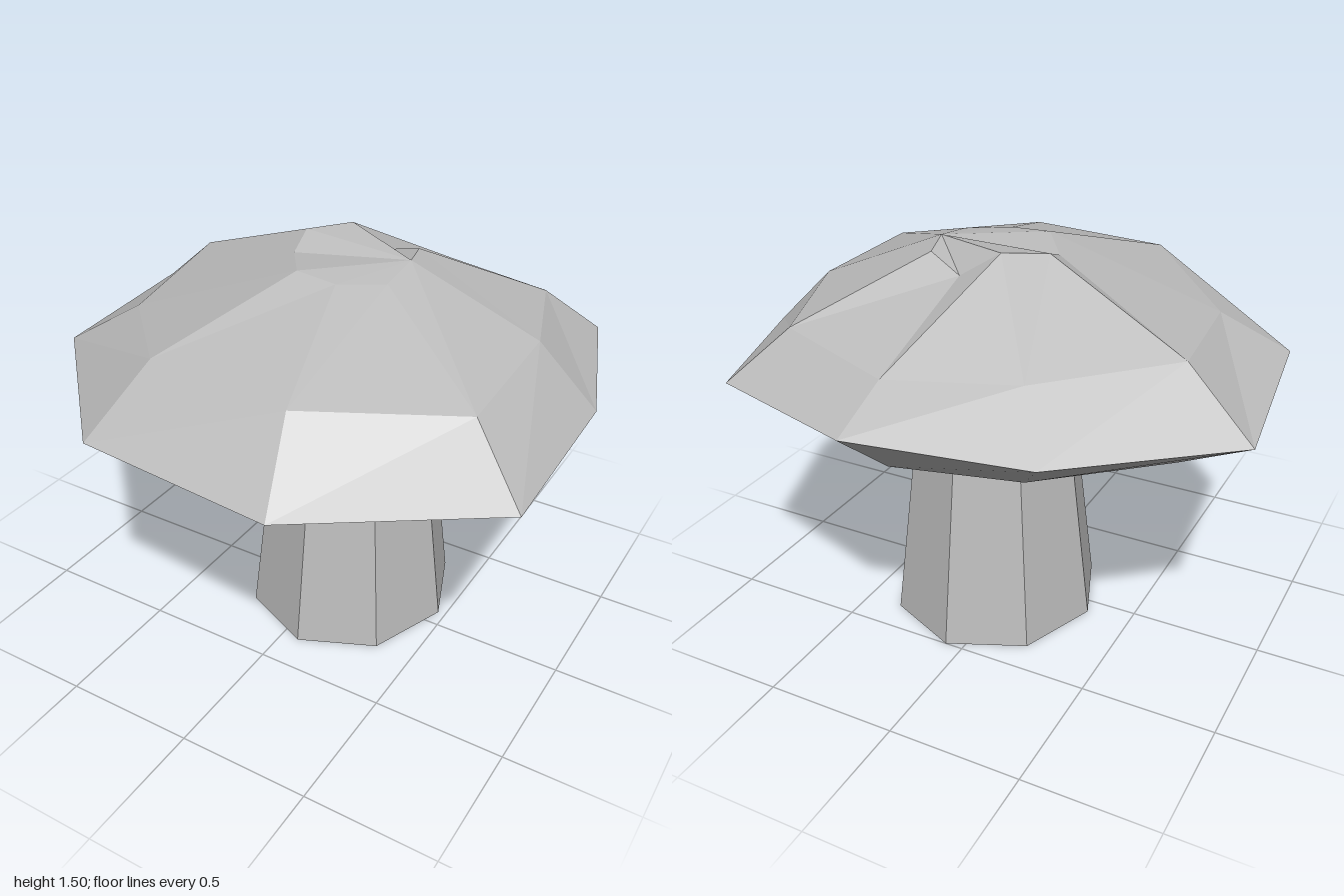
import * as THREE from 'three';

// Faceted shell from stacked rings [x, y, z], bottom to top, closed at both ends
function loft(rings, fanStart) {
  const pos = [];
  const tri = (a, b, c) => pos.push(...a, ...b, ...c);
  const n = rings[0].length;
  for (let r = 0; r < rings.length - 1; r++) {
    const lo = rings[r], up = rings[r + 1];
    for (let i = 0; i < n; i++) {
      const j = (i + 1) % n;
      tri(lo[i], up[i], lo[j]);
      tri(lo[j], up[i], up[j]);
    }
  }
  const base = rings[0], top = rings[rings.length - 1];
  for (let k = 1; k < n - 1; k++) {
    const i = (fanStart + k) % n, j = (fanStart + k + 1) % n;
    tri(base[fanStart], base[i], base[j]);
    tri(top[fanStart], top[j], top[i]);
  }
  const geo = new THREE.BufferGeometry();
  geo.setAttribute('position', new THREE.Float32BufferAttribute(pos, 3));
  geo.computeVertexNormals();
  return geo;
}

export function createModel() {
  const group = new THREE.Group();
  group.name = 'mushroom';
  const grey = new THREE.MeshStandardMaterial({ color: 0xbcbcbc });
  grey.name = 'stone grey';
  grey.flatShading = true;

  // Cap: nine-sided rings, each starting at the back and running towards +x
  const rim = [
    [0.14, 1.09, -0.98], [0.76, 1.06, -0.76], [0.97, 1.05, -0.16],
    [1.0, 1.07, 0.57], [0.36, 1.05, 0.97], [-0.4, 1.05, 0.9],
    [-0.91, 1.07, 0.37], [-1.0, 1.04, -0.36], [-0.47, 1.06, -0.83],
  ];
  const under = rim.map(([x, , z]) => [x * 0.74 + 0.02, 0.88, z * 0.74 - 0.01]);
  const shoulder = [
    [0.12, 1.21, -0.76], [0.59, 1.24, -0.6], [0.75, 1.27, -0.14],
    [0.77, 1.26, 0.41], [0.28, 1.29, 0.72], [-0.28, 1.29, 0.67],
    [-0.67, 1.22, 0.26], [-0.74, 1.26, -0.29], [-0.33, 1.23, -0.63],
  ];
  // Uneven crown with a notch at the back
  const crown = [
    [0.09, 1.41, -0.29], [0.23, 1.46, -0.24], [0.27, 1.475, -0.1],
    [0.27, 1.45, 0.07], [0.12, 1.45, 0.16], [-0.04, 1.46, 0.15],
    [-0.16, 1.44, -0.02], [-0.18, 1.485, -0.14], [-0.05, 1.5, -0.25],
  ];
  const cap = new THREE.Mesh(loft([under, rim, shoulder, crown], 2), grey);
  cap.name = 'cap';
  group.add(cap);

  // Stem: tapered octagon, slightly off centre
  const stem = new THREE.Mesh(new THREE.CylinderGeometry(0.73, 1, 0.89, 8), grey);
  stem.name = 'stem';
  stem.scale.set(0.4, 1, 0.43);
  stem.position.set(0.07, 0.445, -0.07);
  group.add(stem);

  return group;
}
